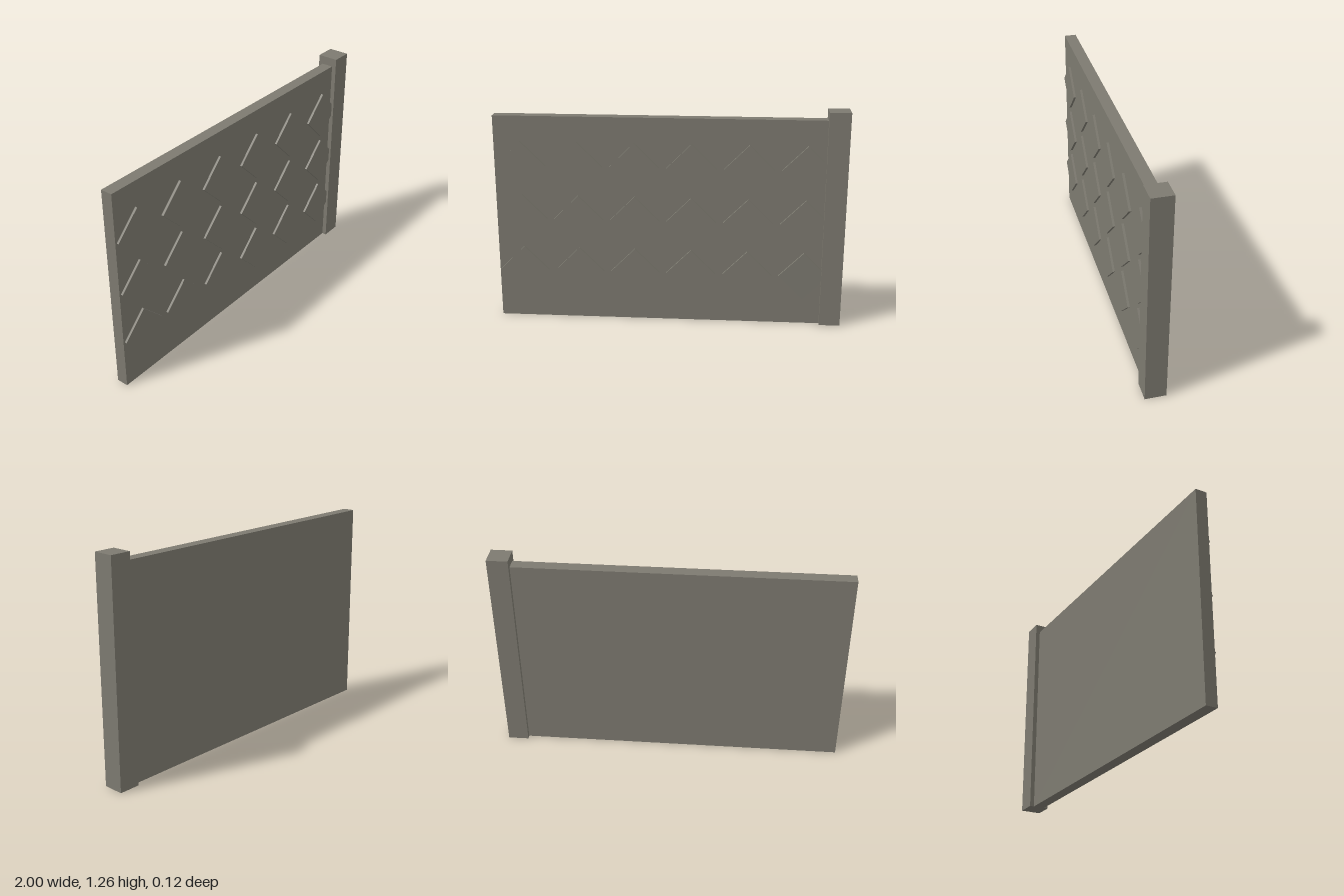
import * as THREE from 'three';

export function createModel() {
  const group = new THREE.Group();
  const stone = new THREE.MeshStandardMaterial({ color: 0x7d7a70 });
  stone.name = 'greyStone';

  // Box given by its minimum and maximum corners
  const addBox = (name, [x0, y0, z0], [x1, y1, z1]) => {
    const mesh = new THREE.Mesh(new THREE.BoxGeometry(x1 - x0, y1 - y0, z1 - z0), stone);
    mesh.position.set((x0 + x1) / 2, (y0 + y1) / 2, (z0 + z1) / 2);
    mesh.name = name;
    group.add(mesh);
  };

  // Wall slab and the taller end post
  addBox('wallPanel', [-1, 0, -0.034], [0.88, 1.212, 0.034]);
  addBox('endPost', [0.88, 0, -0.06], [1, 1.262, 0.06]);

  // Raised diamond tiles on the front, the last column running into the post
  const tiles = new THREE.Group();
  tiles.name = 'diamondTiles';
  const side = 0.143 * Math.SQRT2;
  const tileGeometry = new THREE.BoxGeometry(side, side, 0.03).rotateZ(Math.PI / 4);
  for (let row = 0; row < 3; row++) {
    for (let col = 0; col < 6; col++) {
      const tile = new THREE.Mesh(tileGeometry, stone);
      tile.name = 'diamondTile';
      tile.position.set(-0.848 + col * 0.325, 0.295 + row * 0.315, 0.032);
      tiles.add(tile);
    }
  }
  group.add(tiles);

  return group;
}
